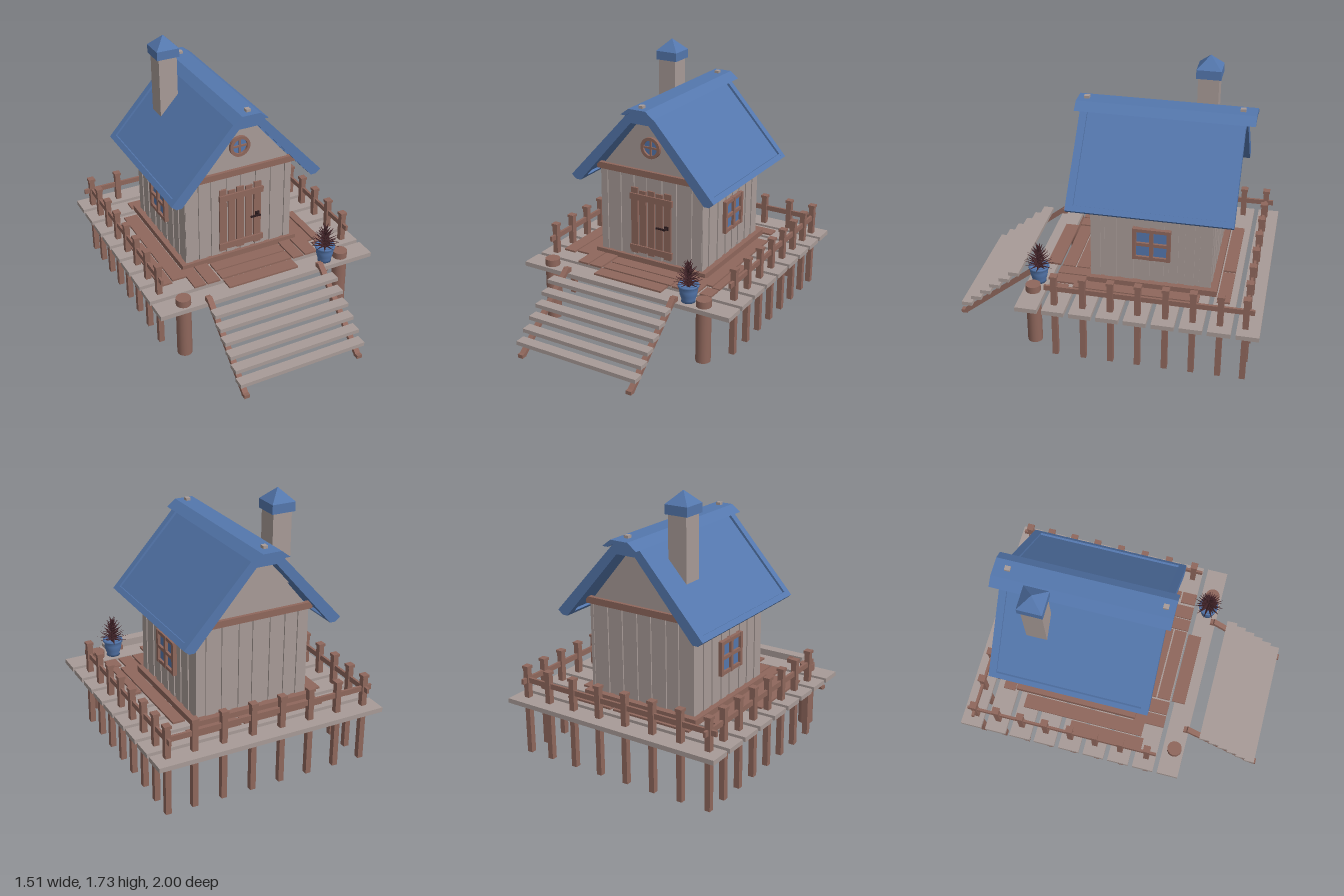
import * as THREE from 'three';

const mat = (name, color) => Object.assign(new THREE.MeshStandardMaterial({ color }), { name });

export function createModel() {
  const root = new THREE.Group();
  root.name = 'stiltCabin';
  const grey = mat('weatheredWood', 0xa89b97);
  const brown = mat('redBrownWood', 0x8f675c);
  const blue = mat('bluePaint', 0x5477ad);
  const leafMat = mat('darkLeaf', 0x422429);
  const iron = mat('darkIron', 0x2c1c1e);

  const group = (name, parent = root) => {
    const g = new THREE.Group();
    g.name = name;
    parent.add(g);
    return g;
  };
  const mesh = (name, geo, m, parent) => {
    const o = new THREE.Mesh(geo, m);
    o.name = name;
    parent.add(o);
    return o;
  };
  // Box given by its limits on each axis
  const box = (name, m, parent, x0, x1, y0, y1, z0, z1) => {
    const o = mesh(name, new THREE.BoxGeometry(x1 - x0, y1 - y0, z1 - z0), m, parent);
    o.position.set((x0 + x1) / 2, (y0 + y1) / 2, (z0 + z1) / 2);
    return o;
  };
  // Profile in x-y, extruded from z0 to z1
  const prism = (name, m, parent, pts, z0, z1) => {
    const shape = new THREE.Shape(pts.map(p => new THREE.Vector2(p[0], p[1])));
    const geo = new THREE.ExtrudeGeometry(shape, { depth: z1 - z0, bevelEnabled: false });
    geo.translate(0, 0, z0);
    return mesh(name, geo, m, parent);
  };
  let seed = 7;
  const rand = () => (seed = (seed * 16807) % 2147483647) / 2147483647;

  // Deck of cross planks
  const deck = group('deck');
  for (let i = 0; i < 9; i++) {
    const z = -0.93 + i * 0.17;
    box('deckPlank', grey, deck, -0.755, 0.755, 0.345, 0.375, z - 0.07, z + 0.07);
  }

  // Loose floor boards around the house: x0, x1, z0, z1
  const boards = group('floorBoards');
  [[-0.64, -0.555, -0.28, 0.22], [-0.545, -0.45, -0.62, 0.2], [0.40, 0.48, -0.6, 0.2],
    [0.49, 0.54, -0.165, 0.22], [-0.45, -0.37, 0.12, 0.33], [-0.36, -0.27, 0.12, 0.33],
    [-0.255, 0.25, 0.24, 0.325], [-0.255, 0.25, 0.145, 0.23], [-0.255, 0.24, 0.34, 0.43],
    [0.26, 0.34, 0.12, 0.33], [0.35, 0.44, 0.12, 0.33], [0.46, 0.54, 0.23, 0.33],
    [-0.45, 0.1, -0.79, -0.71], [0.12, 0.45, -0.79, -0.71]].forEach(b =>
    box('floorBoard', brown, boards, b[0], b[1], 0.374, 0.387, b[2], b[3]));

  // Railing: posts run down to the ground as stilts
  const railing = group('railing');
  const post = (x, z) => {
    box('railPost', brown, railing, x - 0.018, x + 0.018, 0, 0.568, z - 0.018, z + 0.018);
    box('postCap', brown, railing, x - 0.023, x + 0.023, 0.566, 0.584, z - 0.023, z + 0.023);
  };
  for (const x of [-0.667, 0.667]) {
    [0.268, 0.088, -0.085, -0.255, -0.425, -0.592, -0.757, -0.91].forEach(z => post(x, z));
    box('sideRail', brown, railing, x - 0.008, x + 0.008, 0.473, 0.507, -0.96, 0.33);
  }
  [-0.475, -0.28, -0.085, 0.11, 0.305, 0.495].forEach(x => post(x, -0.91));
  box('backRail', brown, railing, -0.72, 0.68, 0.473, 0.507, -0.918, -0.902);

  // Round mooring posts at the front
  for (const x of [-0.577, 0.55]) {
    const p = mesh('frontPost', new THREE.CylinderGeometry(0.048, 0.048, 0.42, 16), brown, root);
    p.position.set(x, 0.21, 0.437);
  }

  // Stairs
  const stairs = group('stairs');
  for (let i = 0; i < 6; i++) {
    const z = 0.95 - i * 0.067, y = 0.09 + i * 0.056;
    box('stairTread', grey, stairs, -0.462, 0.405, y - 0.013, y + 0.013, z - 0.035, z + 0.035);
  }
  for (const x of [-0.427, 0.367]) {
    const dz = 0.49, dy = 0.395;
    const s = mesh('stairStringer', new THREE.BoxGeometry(0.036, 0.025, Math.hypot(dz, dy)), brown, stairs);
    s.position.set(x, 0.207, 0.73);
    s.rotation.x = Math.atan2(dy, dz);
    box('stringerFoot', brown, stairs, x - 0.018, x + 0.018, 0, 0.024, 0.96, 1);
    box('stringerHead', brown, stairs, x - 0.018, x + 0.018, 0.375, 0.405, 0.465, 0.505);
  }

  // House, centred slightly to the right of the deck
  const house = group('house');
  house.position.x = -0.025;
  box('houseSill', brown, house, -0.415, 0.415, 0.374, 0.414, -0.70, 0.13);
  prism('houseBody', grey, house, [[-0.37, 0.41], [0.37, 0.41], [0.37, 1.0],
    [0.065, 1.368], [-0.065, 1.368], [-0.37, 1.0]], -0.65, 0.1);

  // Vertical wall planks of uneven width and depth
  const walls = group('wallPlanks', house);
  const planks = (from, to, place) => {
    for (let a = from, i = 0; a < to - 0.001; i++) {
      let b = a + (i % 2 ? 0.025 + rand() * 0.02 : 0.05 + rand() * 0.03);
      if (to - b < 0.03) b = to;
      place(a, b - 0.002, i % 2 ? 0.004 : 0.010);
      a = b;
    }
  };
  planks(-0.378, 0.378, (a, b, d) => box('frontPlank', grey, walls, a, b, 0.412, 0.985, 0.09, 0.1 + d));
  planks(-0.378, 0.378, (a, b, d) => box('backPlank', grey, walls, a, b, 0.412, 0.985, -0.65 - d, -0.64));
  planks(-0.658, 0.108, (a, b, d) => box('leftPlank', grey, walls, 0.36, 0.37 + d, 0.412, 0.985, a, b));
  planks(-0.658, 0.108, (a, b, d) => box('rightPlank', grey, walls, -0.37 - d, -0.36, 0.412, 0.985, a, b));
  box('frontBeam', brown, house, -0.4, 0.4, 0.98, 1.022, 0.09, 0.122);
  box('backBeam', brown, house, -0.4, 0.4, 0.98, 1.022, -0.672, -0.64);

  // Door
  const door = group('door', house);
  const tops = [0.895, 0.88, 0.89, 0.882, 0.895], bottoms = [0.437, 0.445, 0.437, 0.448, 0.437];
  for (let i = 0; i < 5; i++) {
    const x = -0.118 + i * 0.062;
    box('doorPlank', brown, door, x - 0.025, x + 0.025, bottoms[i], tops[i], 0.105, 0.12);
  }
  for (const y of [0.836, 0.476]) box('doorBrace', brown, door, -0.147, 0.168, y - 0.021, y + 0.021, 0.115, 0.13);
  box('handlePlate', iron, door, 0.112, 0.14, 0.65, 0.675, 0.118, 0.128);
  box('handleStem', iron, door, 0.12, 0.132, 0.656, 0.668, 0.125, 0.158);
  box('handleLever', iron, door, 0.065, 0.134, 0.658, 0.667, 0.145, 0.158);

  // Side windows, two by two panes
  for (const s of [-1, 1]) {
    const w = group('sideWindow', house);
    const part = (name, m, x1, y0, y1, z0, z1) =>
      box(name, m, w, s > 0 ? 0.37 : -x1, s > 0 ? x1 : -0.37, y0, y1, z0, z1);
    part('windowGlass', blue, 0.388, 0.59, 0.79, -0.39, -0.17);
    for (const z of [-0.388, -0.28, -0.172]) part('windowUpright', brown, 0.406, 0.58, 0.80, z - 0.012, z + 0.012);
    for (const y of [0.592, 0.69, 0.788]) part('windowBar', brown, 0.404, y - 0.011, y + 0.011, -0.40, -0.16);
  }

  // Round gable window
  const round = group('roundWindow', house);
  round.position.set(0.003, 1.18, 0.1);
  const ring = new THREE.Shape().absarc(0, 0, 0.07, 0, Math.PI * 2);
  ring.holes.push(new THREE.Path().absarc(0, 0, 0.05, 0, Math.PI * 2, true));
  mesh('roundFrame', new THREE.ExtrudeGeometry(ring, { depth: 0.022, bevelEnabled: false, curveSegments: 16 }), brown, round);
  mesh('roundGlass', new THREE.CircleGeometry(0.053, 24), blue, round).position.z = 0.006;
  box('roundBar', brown, round, -0.052, 0.052, -0.006, 0.006, 0, 0.016);
  box('roundUpright', brown, round, -0.006, 0.006, -0.052, 0.052, 0, 0.016);

  // Roof: inset panels with raised rims at the gables and eaves
  const roof = group('roof', house);
  for (const s of [-1, 1]) {
    const side = (name, pts, z0, z1) => prism(name, blue, roof, pts.map(p => [p[0] * s, p[1]]), z0, z1);
    const rim = [[0.522, 0.947], [0.49, 0.92], [0.453, 0.92], [0.065, 1.367], [0, 1.367], [0, 1.445], [0.085, 1.428]];
    side('roofPanel', [[0.502, 0.95], [0.462, 0.936], [0.062, 1.382], [0, 1.382], [0, 1.435], [0.075, 1.415]], -0.76, 0.21);
    side('bargeBoardFront', rim, 0.188, 0.235);
    side('bargeBoardBack', rim, -0.79, -0.743);
    side('eaveBoard', [[0.522, 0.947], [0.49, 0.92], [0.453, 0.92], [0.436, 0.94], [0.497, 0.974]], -0.743, 0.188);
  }
  prism('ridgeCap', blue, roof, [[-0.118, 1.422], [-0.06, 1.467], [0.06, 1.467], [0.118, 1.422],
    [0.08, 1.422], [0.05, 1.44], [-0.05, 1.44], [-0.08, 1.422]], -0.85, 0.268);
  for (const z of [0.21, -0.762]) box('ridgePeg', grey, roof, -0.012, 0.018, 1.45, 1.484, z - 0.017, z + 0.017);

  // Chimney with a pyramid cap
  const chimney = group('chimney');
  box('chimneyStack', grey, chimney, -0.305, -0.18, 1.14, 1.6, -0.59, -0.458);
  box('chimneyCap', blue, chimney, -0.32, -0.166, 1.59, 1.648, -0.603, -0.447);
  const peak = new THREE.ConeGeometry(0.11, 0.078, 4, 1).toNonIndexed();
  peak.rotateY(Math.PI / 4);
  peak.computeVertexNormals();
  mesh('chimneyPeak', peak, blue, chimney).position.set(-0.243, 1.687, -0.525);

  // Potted plant
  const plant = group('pottedPlant');
  plant.position.set(0.438, 0.375, 0.428);
  const profile = [[0, 0], [0.045, 0], [0.043, 0.015], [0.053, 0.045], [0.058, 0.075], [0.056, 0.095],
    [0.066, 0.1], [0.066, 0.114], [0.052, 0.114], [0.05, 0.1], [0, 0.1]];
  mesh('pot', new THREE.LatheGeometry(profile.map(p => new THREE.Vector2(p[0], p[1])), 20), blue, plant);
  mesh('plantStem', new THREE.CylinderGeometry(0.008, 0.014, 0.14, 6), leafMat, plant).position.y = 0.165;
  for (let tier = 0; tier < 7; tier++) {
    const count = 11 - tier, len = 0.105 - tier * 0.008;
    const leaf = new THREE.ConeGeometry(0.011, len, 4);
    leaf.scale(1, 1, 0.35);
    leaf.translate(0, len / 2, 0);
    for (let i = 0; i < count; i++) {
      const o = mesh('leaf', leaf, leafMat, plant);
      o.position.y = 0.115 + tier * 0.018;
      o.rotation.set(1.4 - tier * 0.16 + (rand() - 0.5) * 0.3, (i + tier * 0.4) / count * Math.PI * 2, 0, 'YXZ');
    }
  }
  return root;
}
